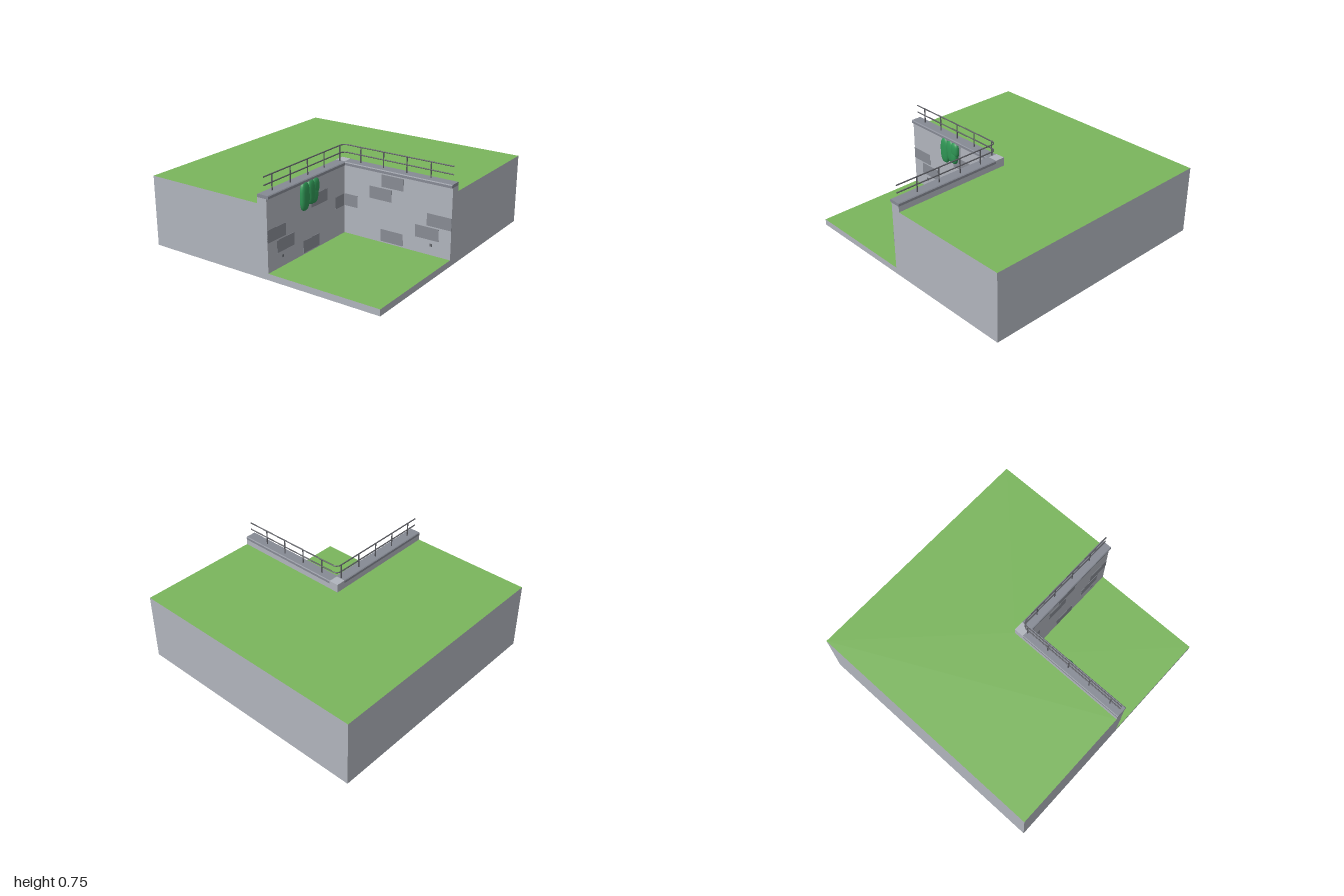
import * as THREE from 'three';

const mat = (name, color, side = THREE.FrontSide) => {
  const m = new THREE.MeshStandardMaterial({ color, side });
  m.name = name;
  return m;
};

export function createModel() {
  const model = new THREE.Group();
  model.name = 'retainingWallCorner';
  const grass = mat('grass green', 0x7ab55c, THREE.DoubleSide);
  const stone = mat('stone grey', 0xb0b4bc);
  const skirtStone = mat('earth side grey', 0xb0b4bc, THREE.DoubleSide);
  const brickGrey = mat('brick grey', 0x878b93);
  const capGrey = mat('coping grey', 0x868a94);
  const metal = mat('railing metal', 0x5c5d63);
  const dark = mat('drain dark', 0x66696f);
  const leaf = mat('ivy green', 0x2f9655);

  const add = (parent, name, geo, material, x = 0, y = 0, z = 0) => {
    const m = new THREE.Mesh(geo, material);
    m.name = name;
    m.position.set(x, y, z);
    parent.add(m);
    return m;
  };
  // Box given by its minimum and maximum corners
  const box = (parent, name, a, b, material) => add(parent, name,
    new THREE.BoxGeometry(b[0] - a[0], b[1] - a[1], b[2] - a[2]), material,
    (a[0] + b[0]) / 2, (a[1] + b[1]) / 2, (a[2] + b[2]) / 2);
  // Flat ground from an outline of [x, z] points
  const ground = (name, pts, y) => {
    const shape = new THREE.Shape(pts.map(([x, z]) => new THREE.Vector2(x, -z)));
    add(model, name, new THREE.ShapeGeometry(shape).rotateX(-Math.PI / 2), grass, 0, y, 0);
  };
  // Open vertical side between consecutive [x, z] points, standing on y = 0
  const skirt = (name, pts, h) => {
    for (let i = 0; i + 1 < pts.length; i++) {
      const [x0, z0] = pts[i], [x1, z1] = pts[i + 1];
      const geo = new THREE.PlaneGeometry(Math.hypot(x1 - x0, z1 - z0), h);
      geo.rotateY(-Math.atan2(z1 - z0, x1 - x0));
      add(model, name, geo, skirtStone, (x0 + x1) / 2, h / 2, (z0 + z1) / 2);
    }
  };

  // Hollow ground: high L-shape and low quarter
  const H = 0.555, L = 0.05, T = 0.08, TOP = 0.6, CAP = 0.625;
  ground('upperGrass', [[-1, 0], [0, 0], [0, 1], [1, 1], [1, -1], [-1, -1]].reverse(), H);
  ground('lowerGrass', [[-1, 1], [-T, 1], [-T, T], [-1, T]], L);
  skirt('upperSide', [[0, 1], [1, 1], [1, -1], [-1, -1], [-1, 0]], H);
  skirt('lowerSide', [[-1, T], [-1, 1], [-T, 1]], L);

  // Bricks on the wall face: [x0, x1, y0, y1]
  const bricks = [
    [-1, -0.8, 0.275, 0.37], [-0.9, -0.705, 0.168, 0.263], [-0.5, -0.305, 0.383, 0.478],
    [-0.6, -0.41, 0.06, 0.155], [-0.2, -T - 0.004, 0.275, 0.37], [-0.6, -0.41, 0.49, 0.585],
  ];
  // Coping cross-section with softened upper edges: depth across, height up
  const capShape = new THREE.Shape([[0, TOP], [0.095, TOP], [0.095, 0.619], [0.089, CAP],
    [0.006, CAP], [0, 0.619]].map(p => new THREE.Vector2(...p)));

  // One wing runs along x; the other swaps the roles of x and z
  for (const side of [0, 1]) {
    const wing = new THREE.Group();
    wing.name = side ? 'frontWall' : 'sideWall';
    model.add(wing);
    // Maps (x, z) of the first wing to (-z, -x) for the second
    const wbox = (name, [x0, y0, z0], [x1, y1, z1], m) => side
      ? box(wing, name, [-z1, y0, -x1], [-z0, y1, -x0], m)
      : box(wing, name, [x0, y0, z0], [x1, y1, z1], m);
    wbox('wall', [-1, 0, 0], [-T, TOP, T], stone);
    for (const [x0, x1, y0, y1] of bricks)
      wbox('brick', [x0, y0, T - 0.002], [x1, y1, T + 0.002], brickGrey);
    wbox('drain', [-0.85, 0.12, T - 0.003], [-0.83, 0.14, T + 0.005], dark);

    const cap = new THREE.ExtrudeGeometry(capShape, { depth: 1 - T, bevelEnabled: false });
    if (side) cap.translate(-0.095, 0, T);
    else cap.rotateY(-Math.PI / 2).translate(-T, 0, 0);
    add(wing, 'coping', cap, capGrey);

    // Railing posts
    const posts = side ? [0.2, 0.4, 0.6, 0.8] : [0.09, 0.29, 0.49, 0.69, 0.89];
    for (const d of posts)
      add(wing, 'railPost', new THREE.CylinderGeometry(0.005, 0.005, 0.745 - CAP, 8), metal,
        side ? -0.042 : -d, (0.745 + CAP) / 2, side ? d : 0.042);
  }
  // Corner block joining both wings
  box(model, 'cornerBlock', [-T, 0, 0], [0, CAP, T], stone);

  // Two rails bending round the corner
  for (const y of [0.685, 0.745]) {
    const v = (x, z) => new THREE.Vector3(x, y, z);
    const straights = [new THREE.LineCurve3(v(-0.985, 0.042), v(-0.085, 0.042)),
      new THREE.LineCurve3(v(-0.042, 0.085), v(-0.042, 0.985))];
    for (const c of straights)
      add(model, 'rail', new THREE.TubeGeometry(c, 1, 0.005, 8), metal);
    const bend = new THREE.CubicBezierCurve3(v(-0.085, 0.042), v(-0.061, 0.042),
      v(-0.042, 0.061), v(-0.042, 0.085));
    add(model, 'railBend', new THREE.TubeGeometry(bend, 8, 0.005, 8), metal);
  }

  // Ivy: flattened lobes hanging on the wall: [x, y, half width, half height, tilt]
  const ivy = new THREE.Group();
  ivy.name = 'ivy';
  model.add(ivy);
  const lobes = [[-0.587, 0.5, 0.047, 0.11, 0], [-0.512, 0.513, 0.043, 0.097, 0.1],
    [-0.466, 0.545, 0.041, 0.063, 0], [-0.477, 0.48, 0.038, 0.063, -0.15]];
  for (const [x, y, w, h, tilt] of lobes) {
    const geo = new THREE.SphereGeometry(1, 20, 14);
    const p = geo.attributes.position;
    // Square the sphere off a little into a leafy cushion
    for (let i = 0; i < p.count; i++) {
      const q = [p.getX(i), p.getY(i), p.getZ(i)].map(c => Math.sign(c) * Math.abs(c) ** 0.75);
      p.setXYZ(i, q[0] * w, q[1] * h, q[2] * 0.03);
    }
    geo.computeVertexNormals();
    add(ivy, 'ivyLobe', geo, leaf, x, y, T + 0.003).rotation.z = tilt;
  }
  return model;
}
